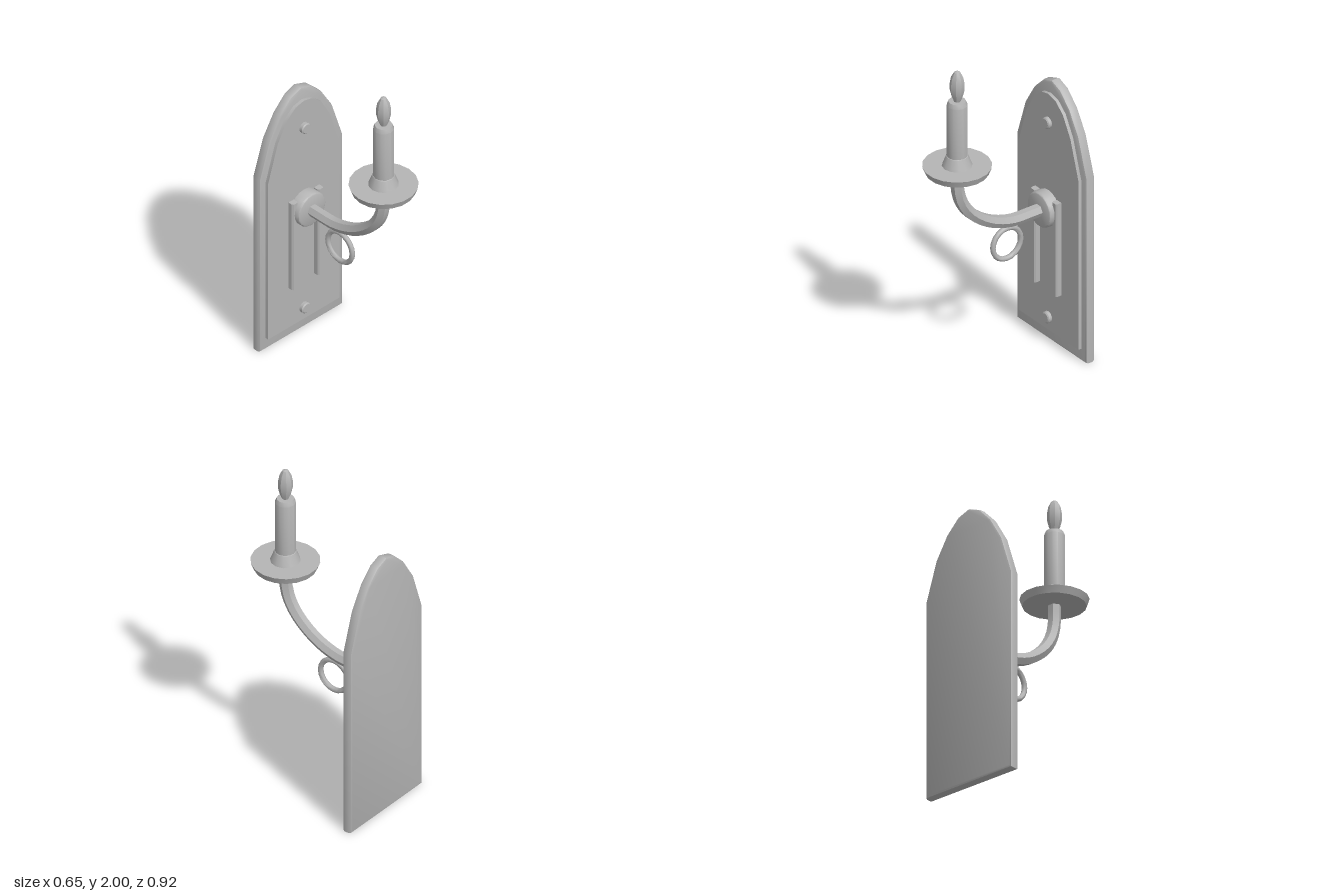
import * as THREE from 'three';
import { toCreasedNormals } from 'three/addons/utils/BufferGeometryUtils.js';

const CANDLE_Z = 0.265;

export function createModel() {
  const group = new THREE.Group();
  const metal = new THREE.MeshStandardMaterial({ color: 0xb4b4b4 });
  metal.name = 'plain grey';

  const add = (name, geometry, x = 0, y = 0, z = 0, crease = 0.6) => {
    const mesh = new THREE.Mesh(toCreasedNormals(geometry, crease), metal);
    mesh.name = name;
    mesh.position.set(x, y, z);
    group.add(mesh);
    return mesh;
  };

  // Pointed-arch slab: the right half is given and mirrored to the left
  const archSlab = (half, bottom, depth, bevel) => {
    const left = half.slice(0, -1).reverse().map(([x, y]) => [-x, y]);
    const w = half[0][0];
    const pts = [[-w, bottom], [w, bottom], ...half, ...left];
    const shape = new THREE.Shape(pts.map(([x, y]) => new THREE.Vector2(x, y)));
    const geometry = new THREE.ExtrudeGeometry(shape, {
      depth: depth - 2 * bevel, bevelEnabled: bevel > 0, bevelSize: bevel,
      bevelThickness: bevel, bevelOffset: -bevel, bevelSegments: 2,
    });
    return geometry.translate(0, 0, bevel);
  };
  const lathe = (pts, sides, start = 0) =>
    new THREE.LatheGeometry(pts.map(([r, y]) => new THREE.Vector2(r, y)), sides, start);

  // Wall plate and raised panel
  add('backplate', archSlab([[0.325, 1.21], [0.247, 1.45], [0.165, 1.585],
    [0.08, 1.67], [0, 1.7]], 0, 0.062, 0.015), 0, 0, -0.46);
  add('raisedPanel', archSlab([[0.28, 1.18], [0.205, 1.42], [0.135, 1.545],
    [0.065, 1.605], [0, 1.62]], 0.08, 0.022, 0), 0, 0, -0.4);

  // Screw heads
  for (const y of [0.165, 1.435]) {
    const head = lathe([[0.035, 0], [0.035, 0.02], [0.028, 0.026], [0, 0.026]], 12);
    add('screwHead', head.rotateX(Math.PI / 2), 0, y, -0.379);
  }

  // Two hanging bars with chamfered front edges
  for (const x of [-0.1, 0.1]) {
    const w = 0.021;
    const section = new THREE.Shape([[-w, 0], [w, 0], [w, 0.03], [w - 0.008, 0.04],
      [-w + 0.008, 0.04], [-w, 0.03]].map(([a, b]) => new THREE.Vector2(a, -b)).reverse());
    const bar = new THREE.ExtrudeGeometry(section, { depth: 0.605, bevelEnabled: false });
    add('hangingBar', bar.rotateX(-Math.PI / 2), x, 0.36, -0.381);
  }

  // Round boss that carries the arm
  const boss = lathe([[0.108, 0], [0.108, 0.062], [0.104, 0.069], [0.098, 0.072], [0, 0.072]], 20);
  add('armBoss', boss.rotateX(Math.PI / 2), 0, 0.885, -0.381);

  // Six-sided curved arm
  const path = new THREE.CatmullRomCurve3([[-0.32, 0.885], [-0.22, 0.885], [-0.12, 0.888],
    [0, 0.922], [0.1, 0.978], [0.19, 1.06], [0.243, 1.15], [0.265, 1.25], [0.265, 1.36]]
    .map(([z, y]) => new THREE.Vector3(0, y, z)));
  add('arm', new THREE.TubeGeometry(path, 18, 0.038, 6, false));

  // Ring below the arm
  add('ring', new THREE.TorusGeometry(0.098, 0.016, 8, 20).rotateY(Math.PI / 2),
    0, 0.75, -0.085, 0.9);

  // Drip pan
  add('dripPan', new THREE.CylinderGeometry(0.198, 0.182, 0.042, 18, 1, false, Math.PI / 18),
    0, 1.366, CANDLE_Z, 0.5);

  // Flared cup, candle and bulb
  add('candleCup', lathe([[0.088, 1.385], [0.082, 1.4], [0.063, 1.45], [0.055, 1.455]], 12),
    0, 0, CANDLE_Z);
  add('candle', lathe([[0.06, 1.44], [0.06, 1.78], [0.05, 1.805], [0, 1.805]], 12),
    0, 0, CANDLE_Z);
  add('flameBulb', lathe([[0.018, 1.8], [0.032, 1.835], [0.042, 1.875], [0.043, 1.915],
    [0.035, 1.96], [0.018, 1.992], [0, 2]], 8), 0, 0, CANDLE_Z);

  return group;
}
